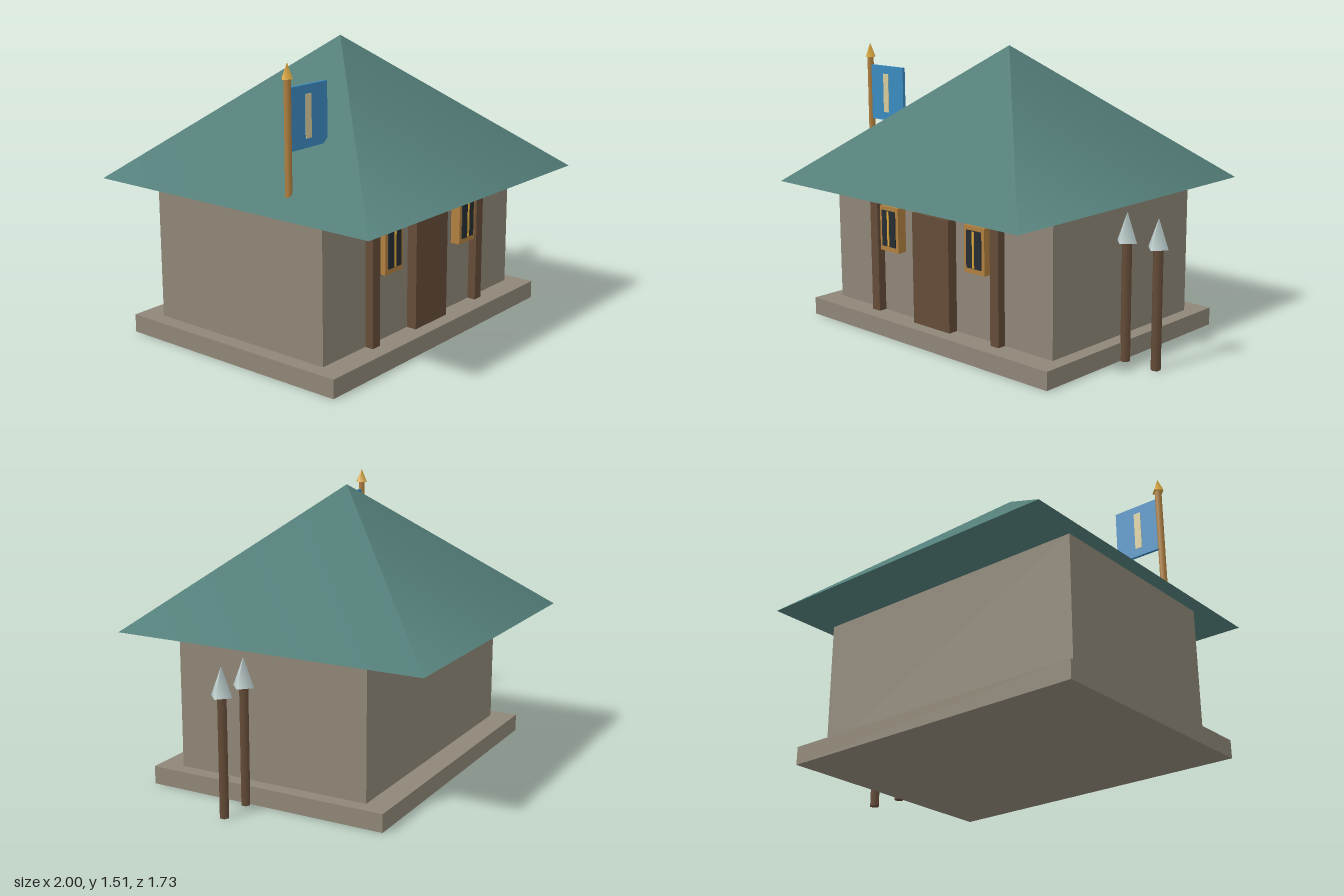
import * as THREE from 'three';

const mat = (color) => new THREE.MeshStandardMaterial({ color });

export function createModel() {
  const house = new THREE.Group();
  house.name = 'guardHouse';
  const stone = mat(0x8f8677), wood = mat(0x654c38), trim = mat(0xb08040), glass = mat(0x252c33);
  const gold = mat(0xdca83c), teal = mat(0x55807b), blue = mat(0x3a8abf), cream = mat(0xd8cc9c);
  const steel = mat(0xb8c8c8);

  const add = (name, geometry, material, x, y, z, parent = house) => {
    const mesh = new THREE.Mesh(geometry, material);
    mesh.name = name;
    mesh.position.set(x, y, z);
    parent.add(mesh);
    return mesh;
  };
  // box given by its limits on each axis
  const box = (name, material, [x0, x1], [y0, y1], [z0, z1], parent) =>
    add(name, new THREE.BoxGeometry(x1 - x0, y1 - y0, z1 - z0), material,
      (x0 + x1) / 2, (y0 + y1) / 2, (z0 + z1) / 2, parent);
  // six-sided shaft with a four-sided point
  const pole = (name, x, z, y0, y1, r, tipBase, tipTop, tipR, shaftMat, tipMat) => {
    const group = new THREE.Group();
    group.name = name;
    house.add(group);
    add('shaft', new THREE.CylinderGeometry(r, r, y1 - y0, 6), shaftMat, x, (y0 + y1) / 2, z, group);
    add('tip', new THREE.ConeGeometry(tipR, tipTop - tipBase, 4), tipMat, x, (tipBase + tipTop) / 2, z, group);
    return group;
  };

  // building body
  const cx = -0.133;
  box('plinth', stone, [-1, 0.73], [0, 0.095], [-0.665, 0.665]);
  box('walls', stone, [-0.92, 0.653], [0.095, 0.79], [-0.537, 0.537]);

  // pyramid roof
  const roof = add('roof', new THREE.ConeGeometry(0.866 * Math.SQRT2, 0.72, 4), teal, cx, 1.15, 0);
  roof.rotation.y = Math.PI / 4;

  // front: door, posts and windows
  box('door', wood, [cx - 0.133, cx + 0.133], [0.095, 0.687], [0.53, 0.592]);
  for (const side of [-1, 1]) {
    const px = cx + side * 0.443, wx = cx + side * 0.315;
    box('post', wood, [px - 0.028, px + 0.028], [0.095, 0.79], [0.53, 0.583]);
    const win = new THREE.Group();
    win.name = 'window';
    house.add(win);
    box('frame', trim, [wx - 0.07, wx + 0.07], [0.445, 0.687], [0.53, 0.59], win);
    box('pane', glass, [wx - 0.05, wx + 0.05], [0.472, 0.665], [0.57, 0.596], win);
    box('glazingBar', gold, [wx - 0.006, wx + 0.006], [0.475, 0.662], [0.58, 0.6], win);
  }

  // two spears beside the house
  for (const x of [0.745, 0.935])
    pole('spear', x, 0.093, 0, 0.62, 0.025, 0.615, 0.765, 0.061, wood, steel);

  // flag on the roof
  const flag = pole('flagPole', -0.89, 0.312, 0.8, 1.43, 0.018, 1.42, 1.495, 0.035, trim, gold);
  box('banner', blue, [-0.875, -0.62], [1.08, 1.378], [0.304, 0.32], flag);
  box('bannerStripe', cream, [-0.776, -0.736], [1.125, 1.335], [0.301, 0.323], flag);

  return house;
}
